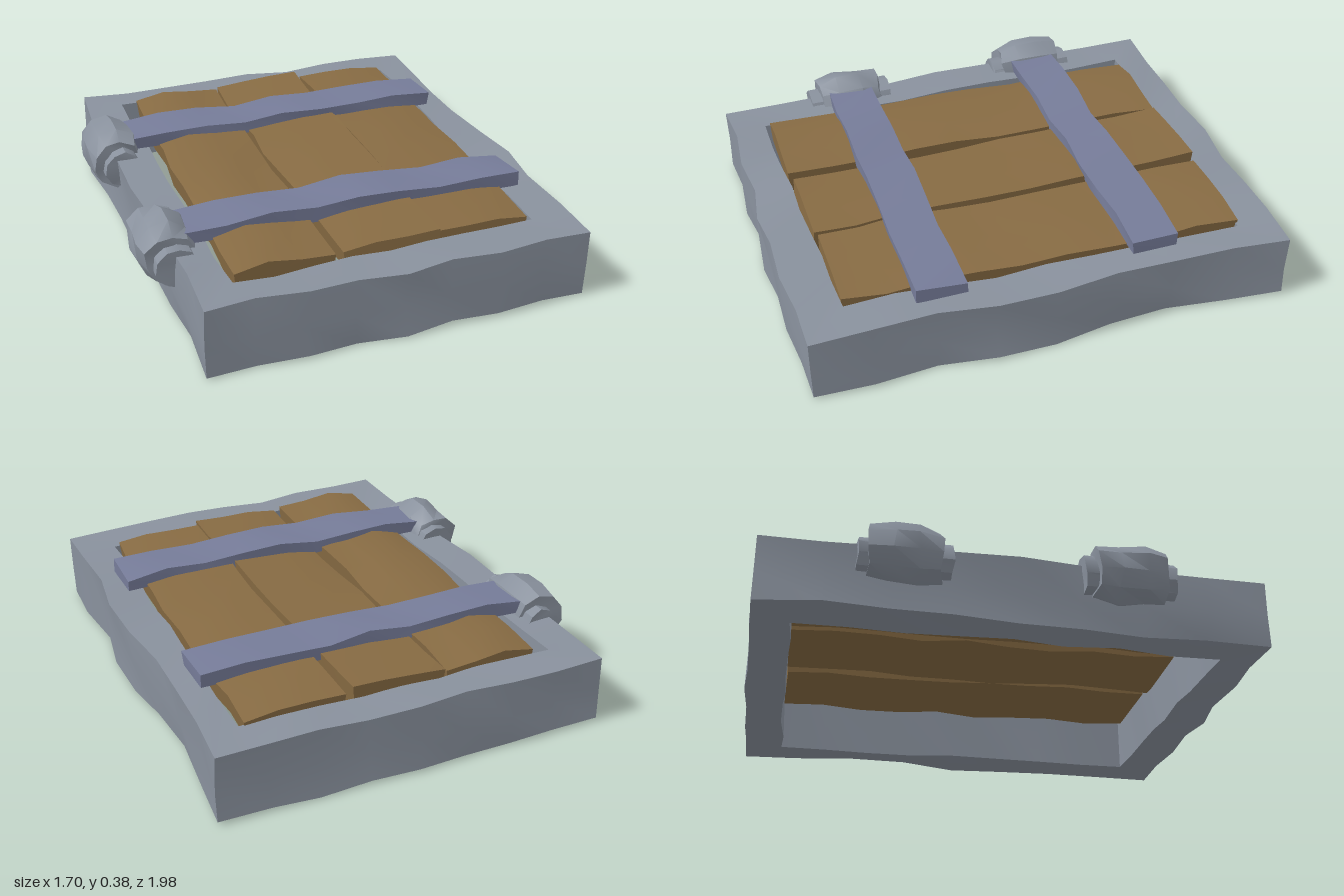
import * as THREE from 'three';
import { toCreasedNormals } from 'three/addons/utils/BufferGeometryUtils.js';

// Small seeded jitter in the range -a..a
let seed = 7;
function jit(a) {
  seed = (seed * 16807) % 2147483647;
  return (seed / 2147483647 * 2 - 1) * a;
}
const lerp = (a, b, t) => a + (b - a) * t;

const stone = new THREE.MeshStandardMaterial({ color: 0x89919d });
const wood = new THREE.MeshStandardMaterial({ color: 0x876b43 });
const iron = new THREE.MeshStandardMaterial({ color: 0x767c99 });

// Skin a row of equal cross-sections; either closed into a ring or capped at both ends
function loft(name, rings, material, closed = false) {
  const n = rings[0].length, index = [];
  const spans = closed ? rings.length : rings.length - 1;
  for (let i = 0; i < spans; i++) {
    const p = i * n, q = ((i + 1) % rings.length) * n;
    for (let j = 0; j < n; j++) {
      const k = (j + 1) % n;
      index.push(p + j, p + k, q + k, p + j, q + k, q + j);
    }
  }
  if (!closed) {
    const e = (rings.length - 1) * n;
    for (let j = 1; j < n - 1; j++) index.push(0, j + 1, j, e, e + j, e + j + 1);
  }
  const geo = new THREE.BufferGeometry();
  geo.setAttribute('position', new THREE.Float32BufferAttribute(rings.flat(2), 3));
  geo.setIndex(index);
  const mesh = new THREE.Mesh(toCreasedNormals(geo, 0.6), material);
  mesh.name = name;
  return mesh;
}

// Rough stone frame: a section swept round four uneven sides
function makeFrame() {
  const outer = [[-0.735, -0.975], [0.845, -0.955], [0.805, 0.955], [-0.73, 0.985]];
  const inner = [[-0.59, -0.83], [0.7, -0.805], [0.65, 0.79], [-0.58, 0.84]];
  // Outward swell of each side at even steps: back, right, front, left
  const swell = [
    [0, -0.005, 0.01, 0, 0.02, 0.005, 0.01, 0],
    [0, -0.025, -0.04, -0.02, 0.005, 0.02, -0.015, 0.01],
    [0, -0.005, 0.01, 0, 0.018, -0.005, 0.01, -0.01],
    [0, -0.01, -0.01, 0.005, 0.01, 0.005, 0.015, 0.035],
  ];
  const outward = [[0, -1], [1, 0], [0, 1], [-1, 0]];
  const rings = [];
  swell.forEach((row, s) => row.forEach((bulge, i) => {
    const t = i / row.length, e = (s + 1) % 4, [nx, nz] = outward[s];
    const at = (c, y, out, r) => [
      lerp(c[s][0], c[e][0], t) + nx * out + jit(r), y + jit(r),
      lerp(c[s][1], c[e][1], t) + nz * out + jit(r)];
    const a = i ? 0.01 : 0.004;
    rings.push([
      at(outer, 0.022, bulge, a), at(outer, 0.15, bulge * 0.7, a * 1.2),
      at(outer, 0.292, bulge * 0.7, a), at(inner, 0.292, 0, a * 0.8),
      at(inner, 0.024, 0, a),
    ]);
  }));
  return loft('stoneFrame', rings, stone, true);
}

// Warped board along z; x ranges at back and front, z range, then top heights from left to right
function makePlank([backL, backR, frontL, frontR, z0, z1, tops]) {
  const rings = [], steps = 9;
  for (let i = 0; i <= steps; i++) {
    const t = i / steps, z = lerp(z0, z1, t), a = 0.009;
    const l = lerp(backL, frontL, t) + jit(a), r = lerp(backR, frontR, t) + jit(a);
    const lift = jit(0.006), skew = jit(a);
    const surface = tops.map((y, k) => [
      lerp(r, l, k / (tops.length - 1)), y + lift + jit(0.005), z + skew]);
    rings.push([
      [l + 0.01, 0.228 + jit(a), z], [r - 0.01, 0.228 + jit(a), z], ...surface,
    ]);
  }
  return loft('plank', rings, wood);
}

// Hammered iron strap running along x
function makeStrap(z) {
  const tops = [0.352, 0.358, 0.366, 0.356, 0.368, 0.36, 0.358, 0.372, 0.35];
  const rings = tops.map((top, i) => {
    const x = lerp(-0.67, 0.73, i / (tops.length - 1)), a = 0.008;
    return [
      [x, 0.298, z - 0.097 + jit(a)], [x, top + jit(0.01), z - 0.097 + jit(a)],
      [x + jit(a), top + jit(0.01), z + 0.097 + jit(a)], [x, 0.298, z + 0.097 + jit(a)],
    ];
  });
  return loft('strap', rings, iron);
}

// Chunky hinge barrel along z with a narrower pin showing at both ends
function makeHinge(z) {
  const tube = (name, profile, cx, cy, rough) => loft(name, profile.map(([dz, r]) =>
    Array.from({ length: 10 }, (_, k) => {
      const t = k / 10 * Math.PI * 2 + 0.2, q = r + jit(rough);
      return [cx + Math.cos(t) * q, cy + Math.sin(t) * q, z + dz + jit(rough)];
    })), stone);
  const hinge = new THREE.Group();
  hinge.name = 'hinge';
  hinge.add(
    tube('hingeBarrel', [[-0.135, 0.105], [-0.05, 0.122], [0.05, 0.12], [0.135, 0.102]], -0.73, 0.262, 0.01),
    tube('hingePin', [[-0.178, 0.082], [0.178, 0.082]], -0.715, 0.25, 0.006),
  );
  return hinge;
}

export function createModel() {
  seed = 7;
  const model = new THREE.Group();
  model.name = 'trapdoor';
  model.add(makeFrame());

  // Three boards, tops listed from right edge to left edge
  const planks = [
    [-0.53, -0.145, -0.57, -0.185, -0.82, 0.815, [0.312, 0.322, 0.335, 0.308]],
    [-0.14, 0.25, -0.14, 0.25, -0.815, 0.81, [0.334, 0.328, 0.322, 0.31]],
    [0.285, 0.68, 0.25, 0.635, -0.805, 0.79, [0.304, 0.318, 0.322, 0.318]],
  ];
  for (const p of planks) model.add(makePlank(p));

  for (const z of [-0.43, 0.43]) model.add(makeStrap(z), makeHinge(z));
  return model;
}
